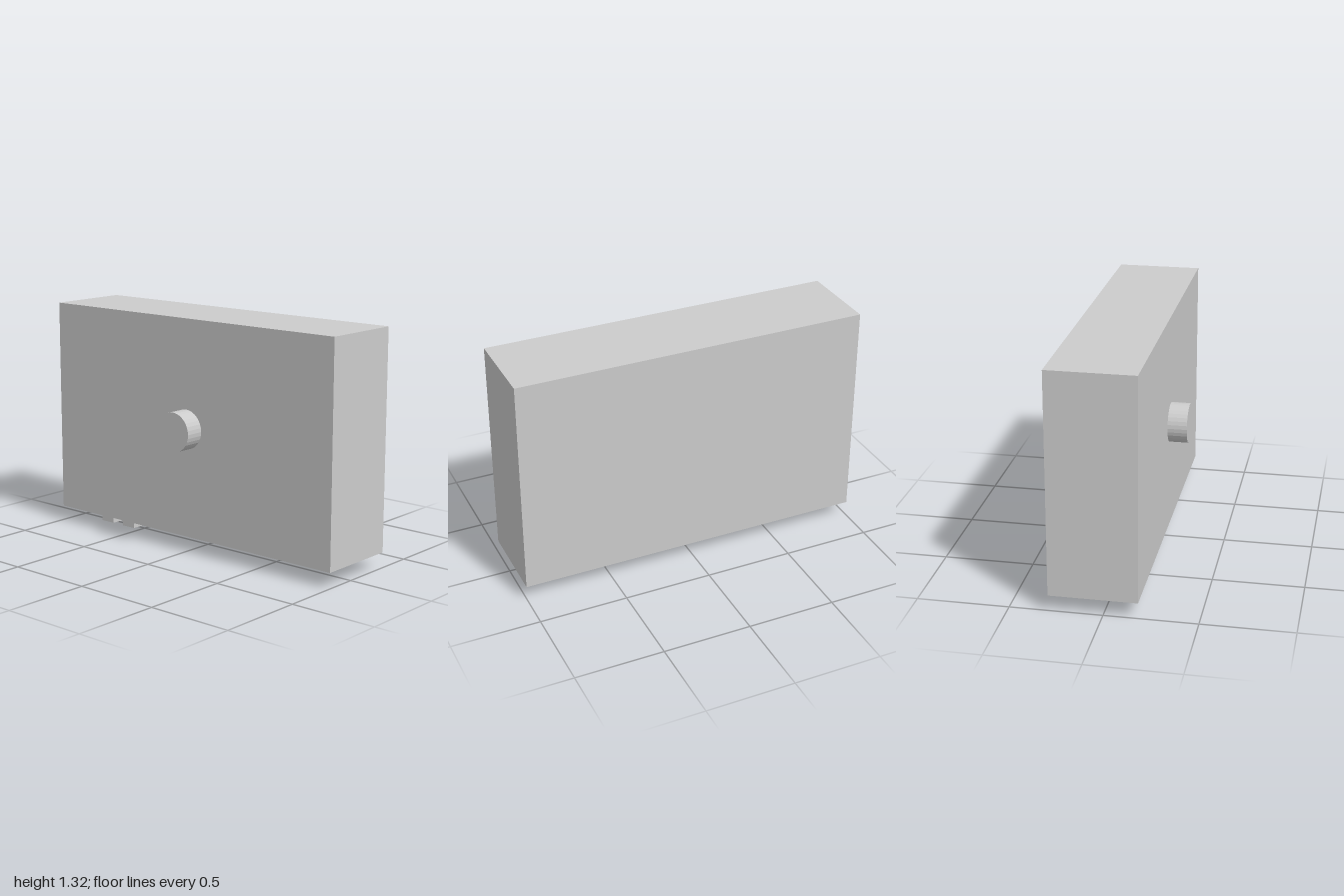
import * as THREE from 'three';

const material = new THREE.MeshStandardMaterial({ color: 0xcccccc, flatShading: true });

function addPart(group, name, geometry, x, y, z) {
  const mesh = new THREE.Mesh(geometry, material);
  mesh.name = name;
  mesh.position.set(x, y, z);
  group.add(mesh);
}

export function createModel() {
  const group = new THREE.Group();
  group.name = 'box';

  const bottom = 0.087, top = 1.321;
  const back = -0.292, front = 0.184, knobEnd = 0.292;
  const midY = (bottom + top) / 2;

  // Main housing
  addPart(group, 'housing', new THREE.BoxGeometry(2, top - bottom, front - back),
    0, midY, (front + back) / 2);

  // Round knob at the centre of the front face
  const knob = new THREE.CylinderGeometry(0.111, 0.111, knobEnd - front, 32).rotateX(Math.PI / 2);
  addPart(group, 'knob', knob, 0, midY, (front + knobEnd) / 2);

  // Two connector pegs under the right end
  for (const x of [-0.765, -0.595]) {
    addPart(group, 'peg', new THREE.BoxGeometry(0.094, bottom, 0.19), x, bottom / 2, (front + back) / 2);
  }

  return group;
}
